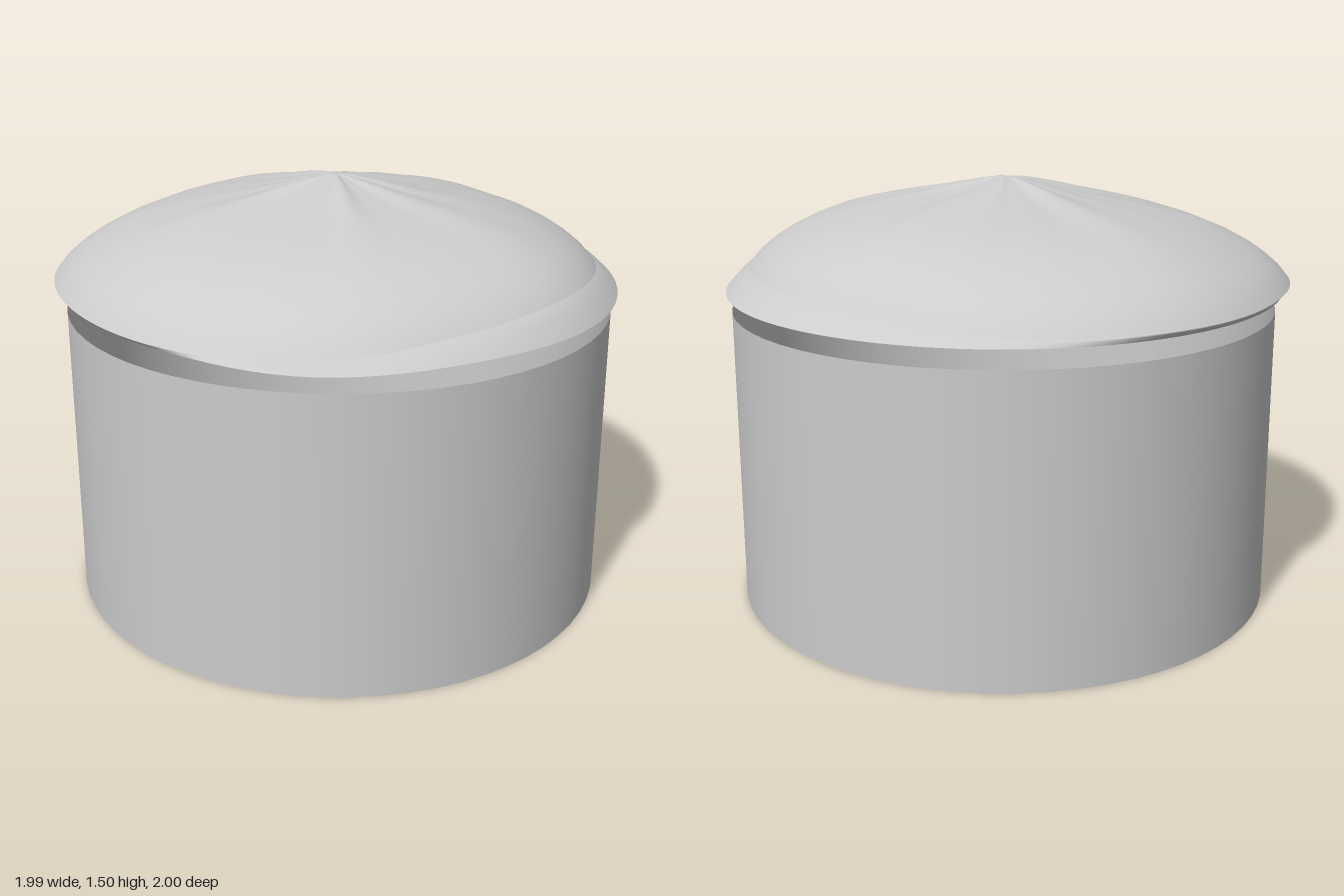
import * as THREE from 'three';

const SEGMENTS = 96;

// Lid outline every 30 degrees from +x towards +z:
// [dome radius, dome rim height, lower lip radius]
const OUTLINE = new THREE.CatmullRomCurve3([
  [0.91, 1.20, 0.99], [0.91, 1.22, 0.99], [0.90, 1.19, 0.97], [0.94, 1.15, 1.00],
  [0.95, 1.14, 0.94], [0.97, 1.145, 0.95], [1.00, 1.15, 0.97], [1.00, 1.15, 0.98],
  [1.01, 1.15, 0.99], [0.98, 1.15, 1.00], [0.90, 1.19, 1.00], [0.90, 1.20, 1.00],
].map((p) => new THREE.Vector3(...p)), true, 'catmullrom', 0.5);

// Dome profile: [fraction of the radius, fraction of the height above the rim]
const DOME = [
  [0, 1], [0.05, 0.985], [0.1, 0.955], [0.2, 0.885], [0.3, 0.82], [0.4, 0.765], [0.5, 0.705],
  [0.6, 0.635], [0.7, 0.55], [0.8, 0.43], [0.88, 0.305], [0.93, 0.205], [0.97, 0.105], [1, 0],
];

// Smooth surface of closed rings; ringAt(o, angle) gives [radius, y] from the centre outwards
function ringSurface(rings, up) {
  const positions = [];
  const index = [];
  rings.forEach((ringAt) => {
    for (let j = 0; j < SEGMENTS; j++) {
      const a = (j / SEGMENTS) * Math.PI * 2;
      const [r, y] = ringAt(OUTLINE.getPoint(j / SEGMENTS), a);
      positions.push(r * Math.cos(a), y, r * Math.sin(a));
    }
  });
  for (let i = 0; i < rings.length - 1; i++) {
    for (let j = 0; j < SEGMENTS; j++) {
      const k = (j + 1) % SEGMENTS;
      const a = i * SEGMENTS + j, b = a + SEGMENTS;
      const d = i * SEGMENTS + k, c = d + SEGMENTS;
      if (up) index.push(a, c, b, a, d, c);
      else index.push(a, b, c, a, c, d);
    }
  }
  const geometry = new THREE.BufferGeometry();
  geometry.setAttribute('position', new THREE.Float32BufferAttribute(positions, 3));
  geometry.setIndex(index);
  geometry.computeVertexNormals();
  return geometry;
}

// Soft folds that radiate from the crown and fade out at the rim
function folds(s, a) {
  const wave = Math.sin(5 * a + 0.6) + 0.7 * Math.sin(9 * a + 2 + 2 * s) + 0.5 * Math.sin(14 * a + 1);
  return 0.007 * wave * Math.min(1, s * 5) * Math.max(0, 1 - s * 1.05);
}

export function createModel() {
  const model = new THREE.Group();
  const grey = new THREE.MeshStandardMaterial({ color: 0xcccccc, side: THREE.DoubleSide });
  grey.name = 'light grey';

  const add = (name, geometry, parent) => {
    const mesh = new THREE.Mesh(geometry, grey);
    mesh.name = name;
    parent.add(mesh);
    return mesh;
  };

  // Open tube, with no caps
  const tube = add('tube', new THREE.CylinderGeometry(0.963, 0.963, 1.055, 64, 1, true), model);
  tube.position.set(0.01, 0.5275, -0.01);

  const lid = new THREE.Group();
  lid.name = 'lid';
  model.add(lid);

  // Wrinkled upper dome
  add('dome', ringSurface(DOME.map(([s, h]) => (o, a) => [
    s * o.x, o.y + (1.5 - o.y) * h + folds(s, a),
  ]), true), lid);

  // Lower layer that shows beyond the dome on one side
  add('lip', ringSurface([
    (o) => [o.x - 0.05, o.y + 0.015],
    (o) => [o.x - 0.005, o.y - 0.003],
    (o) => [o.x + (o.z - o.x) * 0.45, o.y + (1.125 - o.y) * 0.4],
    (o) => [o.z, 1.125],
  ], true), lid);

  // Shallow cone closing the lid from below
  add('underside', ringSurface([
    () => [0, 1.055],
    (o) => [o.z * 0.5, 1.09],
    (o) => [o.z, 1.125],
  ], false), lid);

  return model;
}
